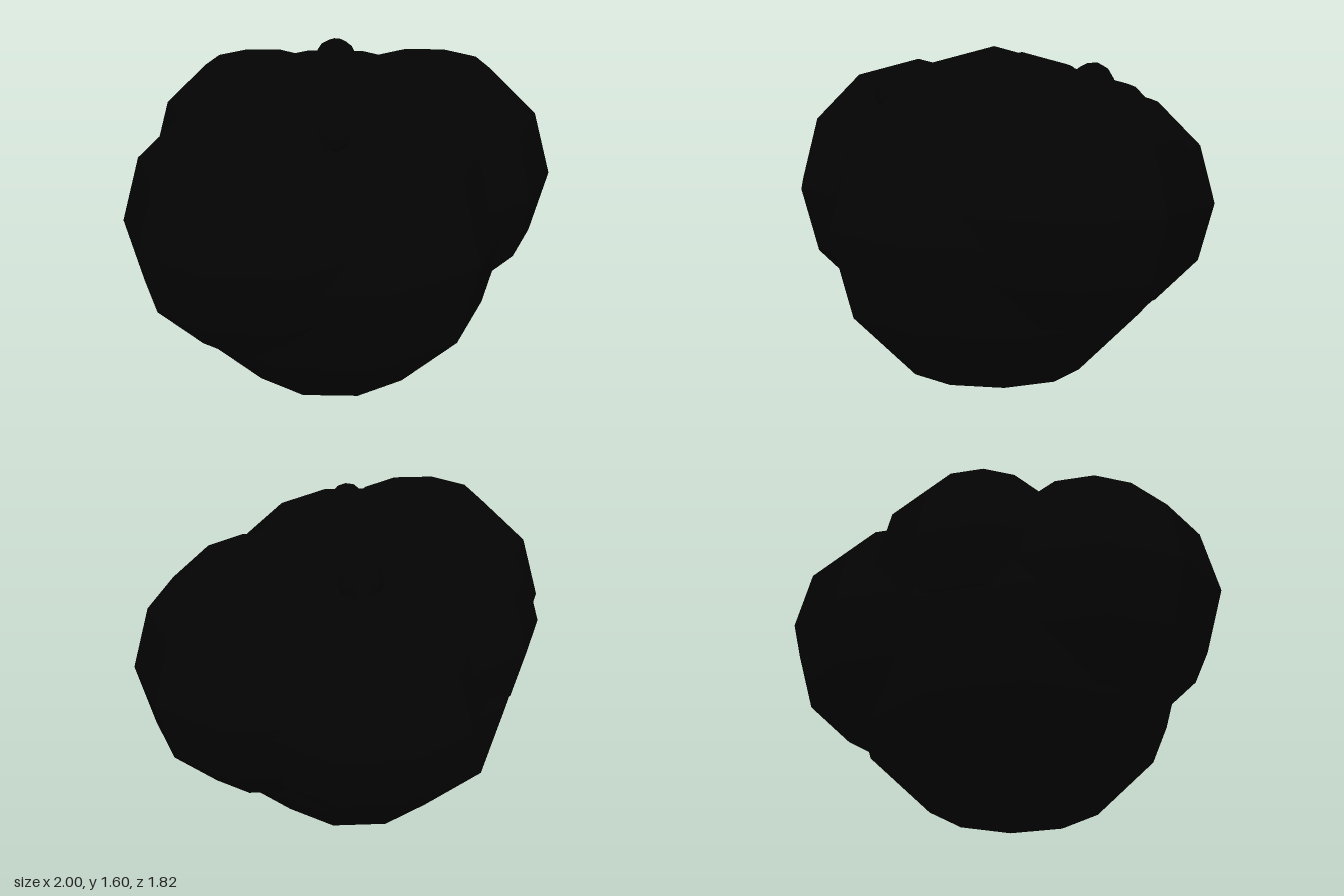
import * as THREE from 'three';

// Cluster of overlapping low-poly balls: name, radius, centre, tilt
const lobes = [
  ['coreLobe', 0.8, [-0.04, 0.8, 0.105]],
  ['leftLobe', 0.587, [0.44, 0.94, -0.03]],
  ['rightFrontLobe', 0.587, [-0.44, 0.94, 0.32]],
  ['backLobe', 0.536, [0.09, 0.88, -0.374]],
  ['rightBackLobe', 0.49, [-0.304, 1.065, -0.157]],
  // Small buds tucked into the creases on top
  ['backBud', 0.1, [0.1, 1.425, -0.33], 0.3],
  ['frontBud', 0.08, [-0.175, 1.395, 0.56], 0.3],
];

export function createModel() {
  const group = new THREE.Group();
  group.name = 'lobedCluster';
  const material = new THREE.MeshStandardMaterial({ color: 0x030303, flatShading: true });

  for (const [name, radius, centre, tilt = 0] of lobes) {
    // Ten sides and six rings, with a corner pointing to the front and the back
    const geometry = new THREE.SphereGeometry(radius, 10, 6).rotateY(Math.PI / 2).rotateX(tilt);
    const mesh = new THREE.Mesh(geometry, material);
    mesh.name = name;
    mesh.position.set(...centre);
    group.add(mesh);
  }
  return group;
}
